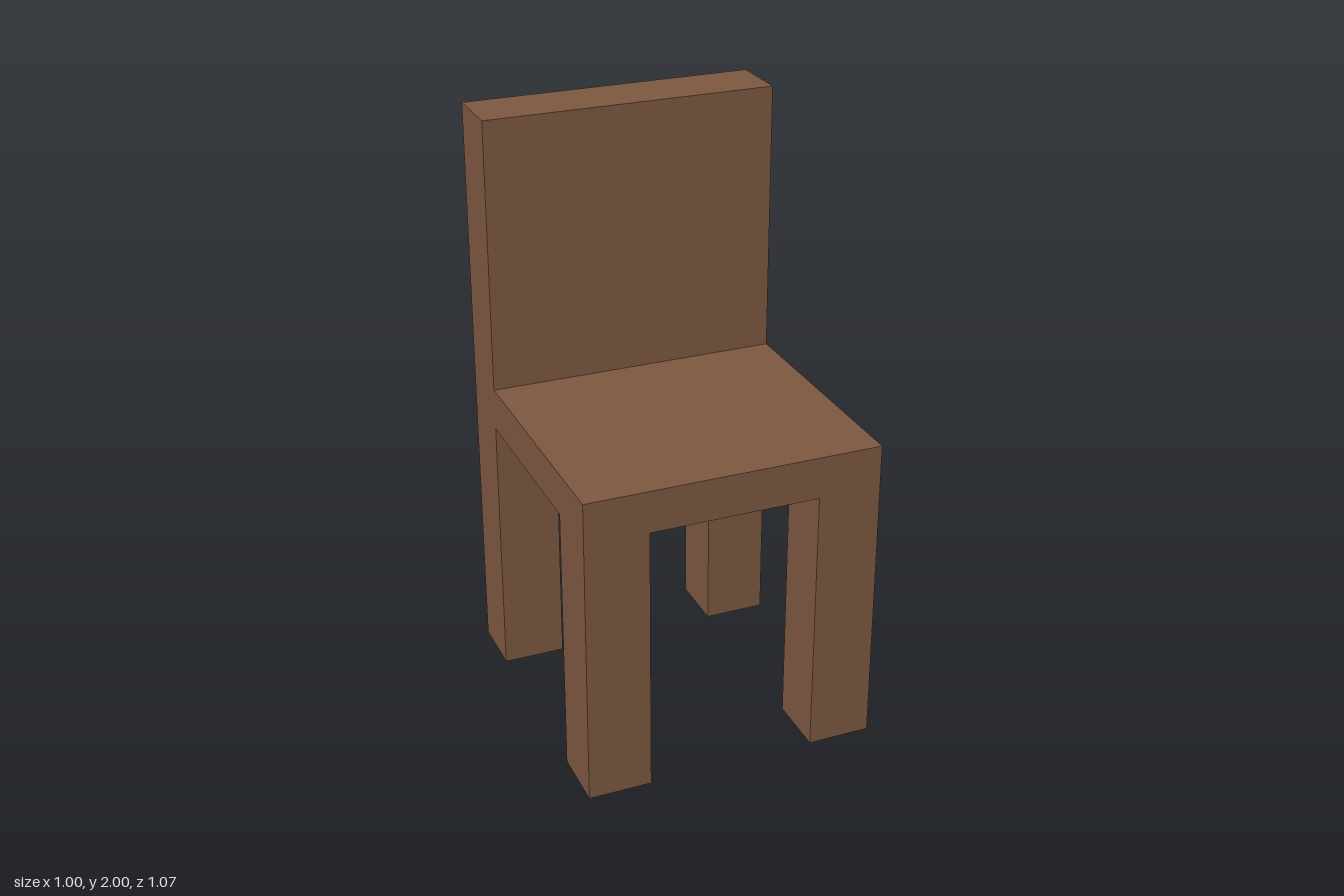
import * as THREE from 'three';

const WIDTH = 1, DEPTH = 1.07, HEIGHT = 2;
const LEG = 0.214;            // leg and backrest thickness
const SEAT_BOTTOM = 0.93, SEAT_TOP = 1.073;

export function createModel() {
  const model = new THREE.Group();
  model.name = 'chair';
  const wood = new THREE.MeshStandardMaterial({ color: 0x7d5740 });
  wood.name = 'brown wood';

  // Box standing on the given base height
  const addBox = (name, w, h, d, x, base, z) => {
    const mesh = new THREE.Mesh(new THREE.BoxGeometry(w, h, d), wood);
    mesh.name = name;
    mesh.position.set(x, base + h / 2, z);
    model.add(mesh);
  };

  // Four square legs, flush with the seat corners
  const legX = (WIDTH - LEG) / 2, legZ = (DEPTH - LEG) / 2;
  for (const [side, sx] of [['Left', 1], ['Right', -1]]) {
    for (const [end, sz] of [['front', 1], ['back', -1]]) {
      addBox(`${end}${side}Leg`, LEG, SEAT_BOTTOM, LEG, sx * legX, 0, sz * legZ);
    }
  }

  // Seat slab and backrest
  addBox('seat', WIDTH, SEAT_TOP - SEAT_BOTTOM, DEPTH, 0, SEAT_BOTTOM, 0);
  addBox('backrest', WIDTH, HEIGHT - SEAT_TOP, LEG, 0, SEAT_TOP, -legZ);

  return model;
}
